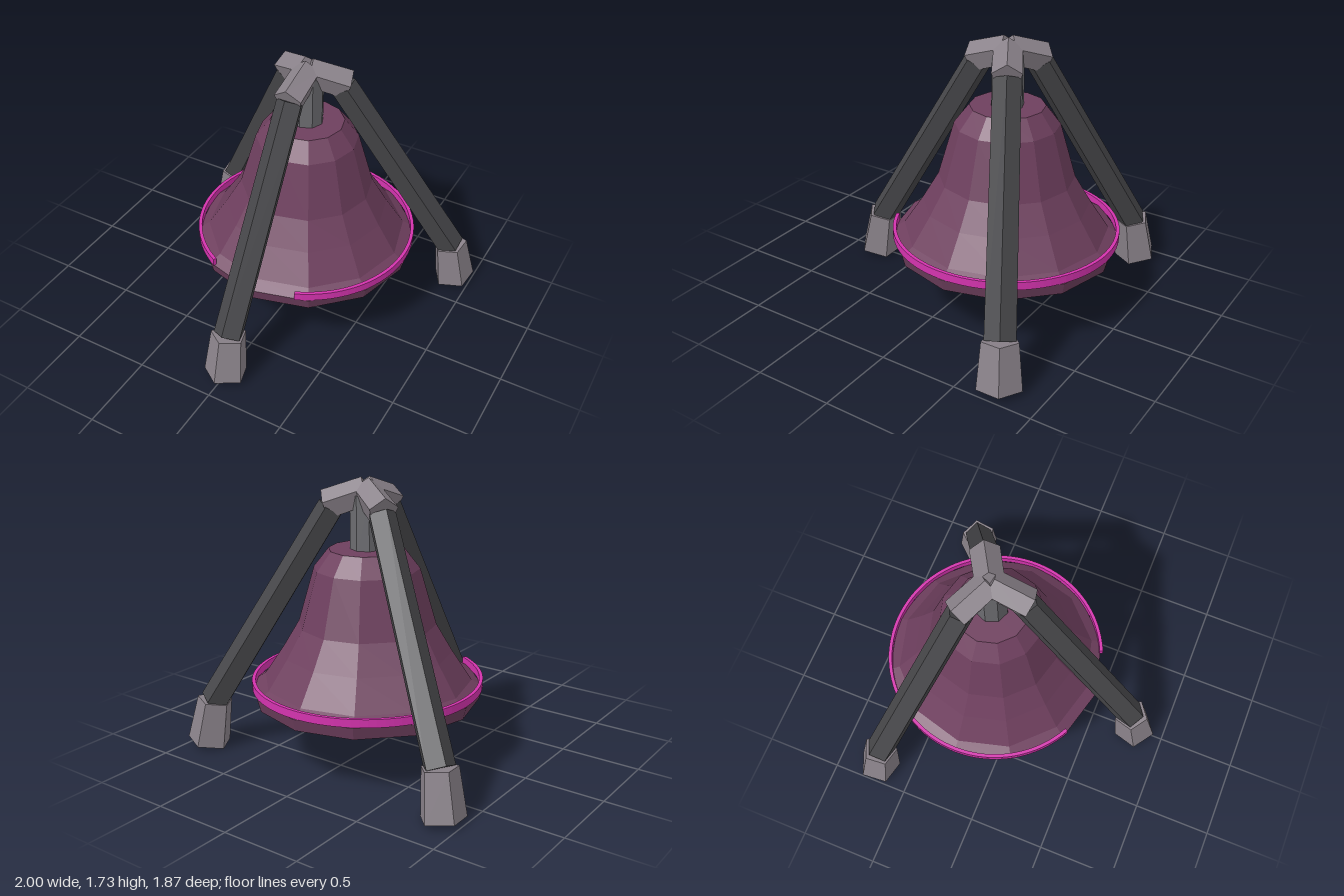
import * as THREE from 'three';

const mat = (name, color) => new THREE.MeshStandardMaterial({ name, color, flatShading: true });

export function createModel() {
  const darkSteel = mat('dark steel', 0x47474a);
  const paleSteel = mat('pale steel', 0x8a828a);
  const postSteel = mat('mid steel', 0x6c6c70);
  const plum = mat('plum', 0x6e3f5e);
  const magenta = mat('magenta', 0xd433ae);

  const model = new THREE.Group();
  model.name = 'tripodBell';
  const centre = new THREE.Group(); // bell axis sits behind the origin
  centre.name = 'assembly';
  centre.position.z = -0.22;
  model.add(centre);

  const add = (parent, name, geometry, material) => {
    const mesh = new THREE.Mesh(geometry, material);
    mesh.name = name;
    parent.add(mesh);
    return mesh;
  };

  // five-sided tapered bar between two [radius, height] points, ridge facing outward
  const bar = (parent, name, top, bottom, rTop, rBottom, material) => {
    const dz = top[0] - bottom[0], dy = top[1] - bottom[1];
    const geometry = new THREE.CylinderGeometry(rTop, rBottom, Math.hypot(dz, dy), 5);
    const mesh = add(parent, name, geometry, material);
    mesh.rotation.x = Math.atan2(dz, dy);
    mesh.position.set(0, (top[1] + bottom[1]) / 2, (top[0] + bottom[0]) / 2);
  };

  // three legs around the axis
  ['front', 'backLeft', 'backRight'].forEach((side, i) => {
    const leg = new THREE.Group();
    leg.name = side + 'Leg';
    leg.rotation.y = (i * Math.PI * 2) / 3;
    centre.add(leg);
    bar(leg, 'legBar', [0.208, 1.553], [0.97, 0.301], 0.086, 0.095, darkSteel);
    bar(leg, 'foot', [0.97, 0.308], [1.02, 0.024], 0.112, 0.138, paleSteel);
    bar(leg, 'topBracket', [0, 1.652], [0.24, 1.567], 0.09, 0.094, paleSteel);
  });

  // hanging post
  add(centre, 'post', new THREE.CylinderGeometry(0.1, 0.1, 0.35, 8), postSteel).position.y = 1.46;

  // twelve-sided turned parts, profiles run from bottom to top
  const turned = (name, profile, material) =>
    add(centre, name, new THREE.LatheGeometry(profile.map(p => new THREE.Vector2(...p)), 12), material);

  turned('bell', [[0, 0.38], [0.69, 0.38], [0.71, 0.457], [0.64, 0.5], [0.52, 0.68],
    [0.42, 0.85], [0.32, 1.195], [0.23, 1.31], [0, 1.31]], plum);
  turned('clapper', [[0, 0.263], [0.13, 0.263], [0.305, 0.33], [0.31, 0.385], [0, 0.385]], magenta);

  // open band around the rim, with its gap at the front
  const from = -Math.PI / 2 + 0.4, to = Math.PI * 1.5 - 0.47;
  const band = new THREE.Shape();
  band.absarc(0, 0, 0.708, from, to, false);
  band.absarc(0, 0, 0.686, to, from, true);
  const bandGeometry = new THREE.ExtrudeGeometry(band, { depth: 0.05, bevelEnabled: false, curveSegments: 40 });
  bandGeometry.rotateX(-Math.PI / 2);
  add(centre, 'rimBand', bandGeometry, magenta).position.y = 0.461;

  return model;
}
